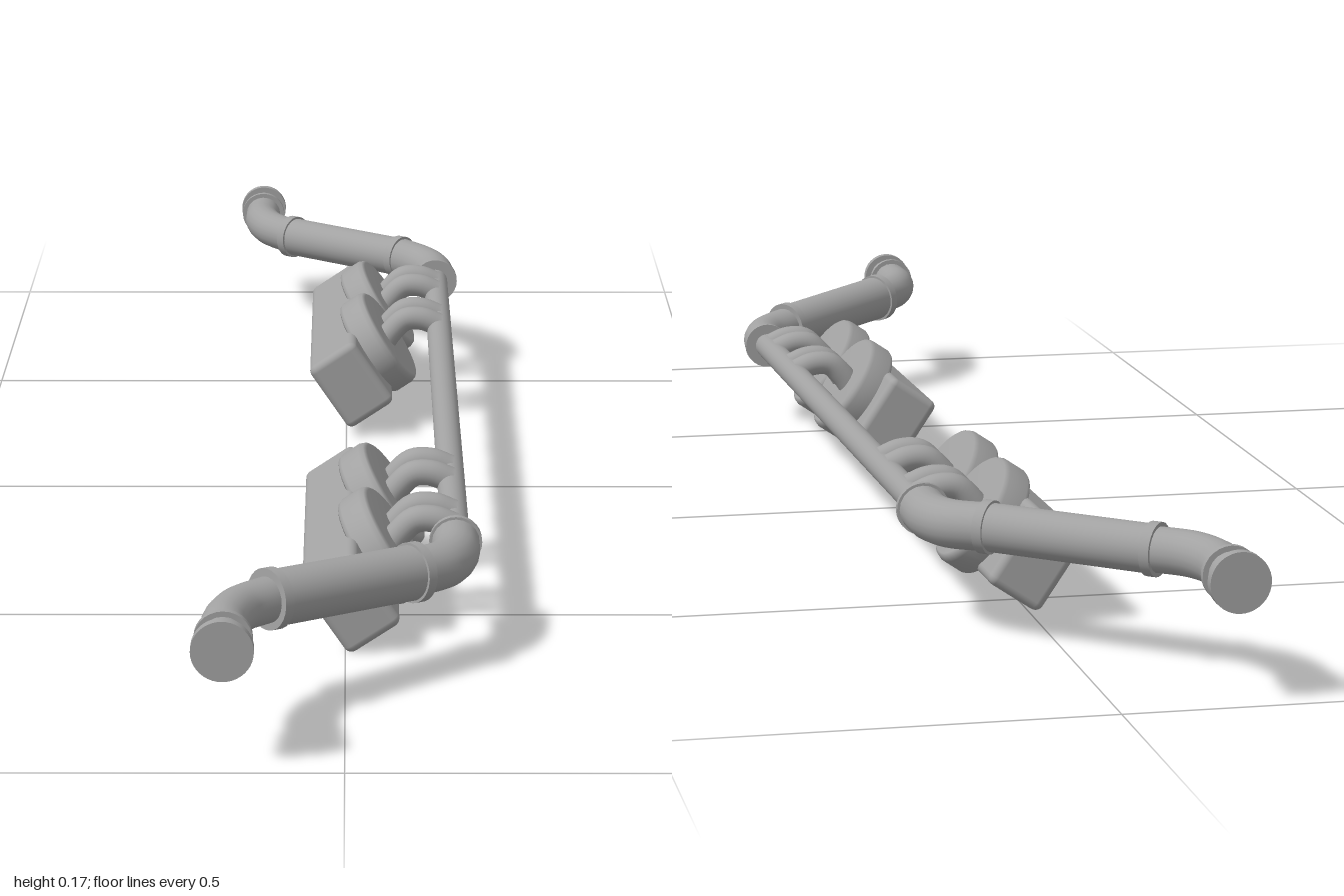
import * as THREE from 'three';
import { RoundedBoxGeometry } from 'three/addons/geometries/RoundedBoxGeometry.js';

const V = (x, y, z) => new THREE.Vector3(x, y, z);

export function createModel() {
  const metal = new THREE.MeshStandardMaterial({ color: 0xa2a2a2 });
  metal.name = 'grey metal';
  const model = new THREE.Group();
  model.name = 'pipeWithMounts';

  function add(parent, name, geometry) {
    const mesh = new THREE.Mesh(geometry, metal);
    mesh.name = name;
    parent.add(mesh);
    return mesh;
  }

  // Closed cylinder between two points
  function rod(parent, name, a, b, r, sides = 28) {
    const mesh = add(parent, name, new THREE.CylinderGeometry(r, r, a.distanceTo(b), sides));
    mesh.position.copy(a).add(b).multiplyScalar(0.5);
    mesh.quaternion.setFromUnitVectors(V(0, 1, 0), b.clone().sub(a).normalize());
    return mesh;
  }

  // Smooth tube through a few points
  function tube(parent, name, points, r, segments = 28) {
    return add(parent, name, new THREE.TubeGeometry(new THREE.CatmullRomCurve3(points), segments, r, 20));
  }

  // Thin collar ring at a point, facing along a direction
  function collar(parent, at, dir, r, width = 0.012) {
    const d = dir.clone().normalize().multiplyScalar(width / 2);
    rod(parent, 'collar', at.clone().sub(d), at.clone().add(d), r);
  }

  // Bent pipe at each end: s = 1 front, s = -1 back
  function endPipe(s, yInner, rMid) {
    const g = new THREE.Group();
    g.name = s > 0 ? 'frontPipe' : 'backPipe';
    model.add(g);
    const a = V(-0.082, 0.137, s * 0.822), b = V(0.078, yInner + 0.004, s * 0.69);
    const dir = b.clone().sub(a);

    rod(g, 'endFlange', V(-0.13, 0.14, s * 0.988), V(-0.13, 0.14, s), 0.034, 40);
    collar(g, V(-0.13, 0.14, s * 0.958), V(0, 0, 1), 0.032, 0.008);
    tube(g, 'outerBend', [V(-0.13, 0.14, s * 0.99), V(-0.13, 0.14, s * 0.945), V(-0.129, 0.14, s * 0.905),
      V(-0.114, 0.139, s * 0.86), a], 0.026);
    rod(g, 'straightSection', a, b, rMid);
    tube(g, 'innerBend', [b, V(0.113, yInner + 0.001, s * 0.653), V(0.127, yInner, s * 0.615),
      V(0.129, yInner, s * 0.57)], 0.028);
    collar(g, a, dir, rMid + 0.003);
    collar(g, b, dir, rMid + 0.003);
    collar(g, V(0.129, yInner, s * 0.568), V(0, 0, 1), 0.031, 0.008);
  }
  endPipe(1, 0.118, 0.032);
  endPipe(-1, 0.135, 0.028);

  // Slim rail joining the two bends
  rod(model, 'rail', V(0.129, 0.118, 0.57), V(0.129, 0.135, -0.57), 0.017);

  // Mounts hang from the rail, following its slight slope
  const mounts = new THREE.Group();
  mounts.name = 'mounts';
  mounts.position.y = 0.0075;
  mounts.rotation.x = 0.0155;
  model.add(mounts);

  // Round pad profile with softened rims
  const padProfile = [[0, 0], [0.079, 0], [0.083, 0.002], [0.086, 0.007], [0.086, 0.032],
    [0.083, 0.038], [0.078, 0.041], [0, 0.041]].map(([r, h]) => new THREE.Vector2(r, h));

  for (const s of [1, -1]) {
    const mount = new THREE.Group();
    mount.name = s > 0 ? 'frontMount' : 'backMount';
    mounts.add(mount);

    // Tilted block and pads: local x points out towards the rail
    const tilted = new THREE.Group();
    tilted.name = 'tiltedBase';
    tilted.rotation.z = 0.593;
    mount.add(tilted);
    const block = add(tilted, 'block', new RoundedBoxGeometry(0.075, 0.104, 0.414, 3, 0.01));
    block.position.set(0.0415, 0.05, s * 0.428);

    for (const z of [0.338, 0.508]) {
      const pad = add(tilted, 'pad', new THREE.LatheGeometry(padProfile, 40));
      pad.rotation.z = -Math.PI / 2;
      pad.scale.set(0.82, 1, 1);
      pad.position.set(0.069, 0.053, s * z);

      // Pair of bent arms from each pad to the rail
      for (const dz of [-0.024, 0.024]) {
        const zz = s * z + dz;
        tube(mount, 'arm', [V(0.05, 0.098, zz), V(0.064, 0.118, zz), V(0.082, 0.134, zz),
          V(0.105, 0.135, zz), V(0.128, 0.126, zz)], 0.016, 18);
      }
    }
  }
  return model;
}
